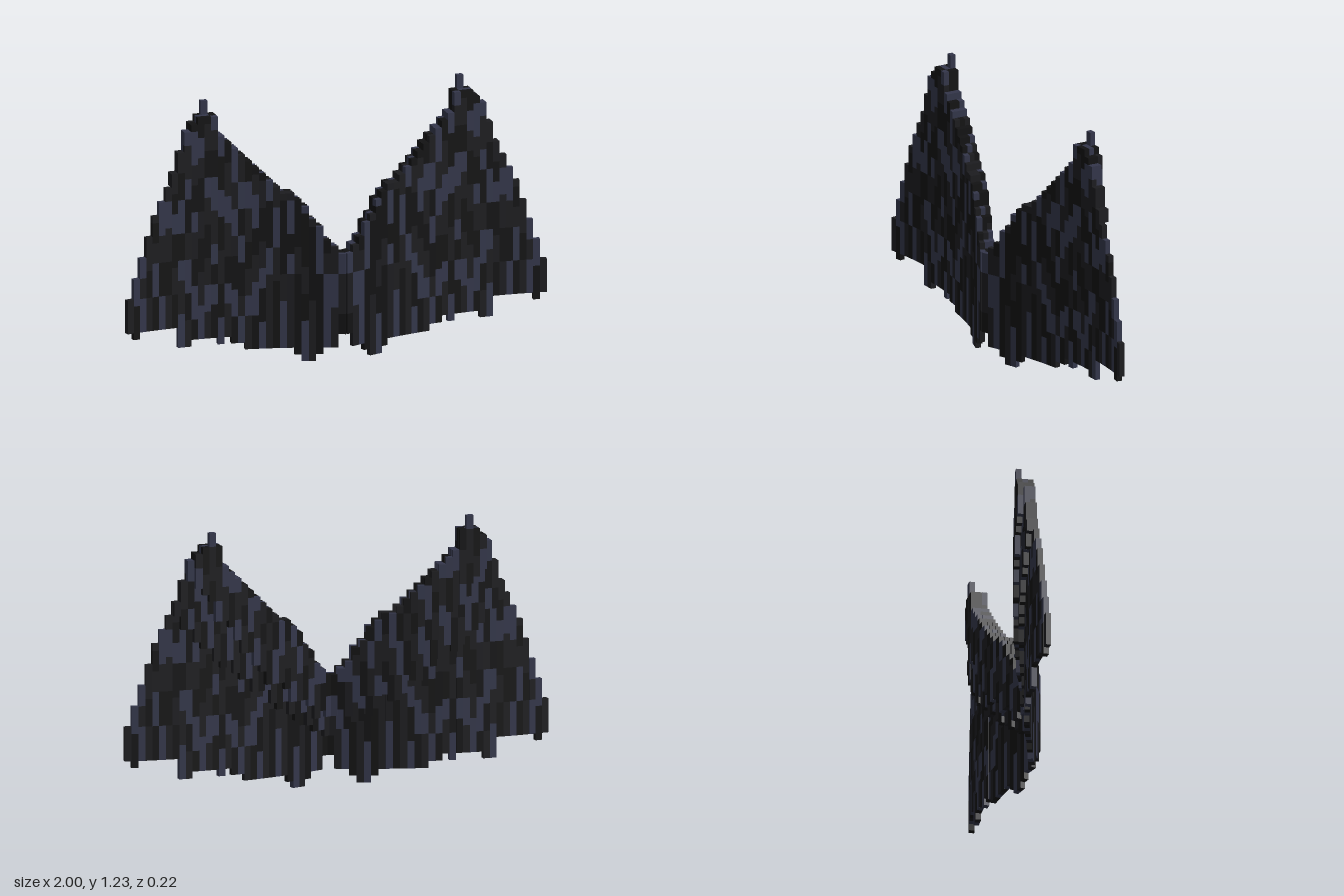
import * as THREE from 'three';
import { mergeGeometries } from 'three/addons/utils/BufferGeometryUtils.js';

const COLUMNS = 32;          // feather columns per wing
const DX = 1 / COLUMNS;
const UNIT = 1.225 / 39;     // height of one block
const LAYER = 0.025;         // thickness of one feather layer
const COLORS = [0x121213, 0x1c1c1f, 0x33364a];
const NAMES = ['blackFeathers', 'charcoalFeathers', 'slateFeathers'];

// Wing outlines as [x, y] points
const TOP = [[0, 0.47], [0.05, 0.53], [0.1, 0.62], [0.16, 0.7], [0.24, 0.78], [0.36, 0.87], [0.48, 0.99],
  [0.55, 1.08], [0.572, 1.16], [0.65, 1.16], [0.68, 1.13], [0.7, 1.12], [0.73, 1.0], [0.8, 0.85], [0.9, 0.62], [0.98, 0.36], [1, 0.35]];
const BOTTOM = [[0, 0.13], [0.02, 0.13], [0.05, 0.065], [0.1, 0.05], [0.13, 0], [0.18, 0], [0.2, 0.035], [0.23, 0.065],
  [0.44, 0.065], [0.47, 0.13], [0.49, 0.1], [0.52, 0.13], [0.55, 0.1], [0.58, 0.13], [0.67, 0.13], [0.69, 0.1],
  [0.74, 0.1], [0.76, 0.2], [0.92, 0.2], [0.953, 0.16], [0.98, 0.19], [1, 0.19]];
// Lower edges of the covert feathers on the back
const MIDDLE = [[0, 0.2], [0.35, 0.45], [0.6, 0.65], [0.78, 0.85]];
const RIDGE = [[0, 0.3], [0.35, 0.55], [0.5, 0.75], [0.68, 1.0]];

function lookup(points, x) {
  for (let i = 1; i < points.length; i++) {
    const [x0, y0] = points[i - 1], [x1, y1] = points[i];
    if (x <= x1) return y0 + (y1 - y0) * (x - x0) / (x1 - x0);
  }
  return points[points.length - 1][1];
}

// Sweep of the wing front, seen from above
const sweep = x => -0.04 + 0.15 * (1 - x / 0.72) ** 2;
const slope = x => -0.3 / 0.72 * (1 - x / 0.72);

let seed = 11;
function random() {
  seed = (seed * 16807) % 2147483647;
  return seed / 2147483647;
}

const snap = y => Math.round(y / UNIT);

// One feather block spanning rows r0 to r1
function block(i, layer, r0, r1, side) {
  const x = (i + 0.5) * DX;
  const angle = Math.atan(slope(x));
  const g = new THREE.BoxGeometry(DX / Math.cos(angle), (r1 - r0) * UNIT, LAYER * Math.cos(angle));
  g.rotateY(-angle * side);
  g.translate(side * x, (r0 + r1) / 2 * UNIT, sweep(x) - LAYER * (layer + 0.5));
  return g;
}

export function createModel() {
  const group = new THREE.Group();
  group.name = 'wings';
  const wings = [1, -1].map(side => ({ side, parts: [[], [], []] }));

  for (let i = 0; i < COLUMNS; i++) {
    const x = (i + 0.5) * DX;
    const top = snap(lookup(TOP, x));
    const layers = [
      [snap(lookup(BOTTOM, x)), top],
      [x < 0.78 ? snap(lookup(MIDDLE, x)) + (i % 3 === 1 ? 1 : 0) : top, top],
      [x < 0.68 ? snap(lookup(RIDGE, x)) - (i % 4 === 2 ? 1 : 0) : top, top],
    ];
    // Single tall feather at the wing tip
    if (Math.abs(x - 0.6) < DX / 2) layers[2][1] = 39;

    layers.forEach(([low, high], layer) => {
      let tone = (i + layer) % 3;
      for (let r = low; r < high;) {
        // Long feathers near the root, short ones towards the tip
        const length = 3 + Math.floor(random() * (x < 0.35 && layer === 0 ? 10 : 3));
        const end = Math.min(high, r + length);
        for (const w of wings) w.parts[tone].push(block(i, layer, r, end, w.side));
        tone = (tone + 1 + Math.floor(random() * 2)) % 3;
        r = end;
      }
    });
  }

  const materials = COLORS.map(color => new THREE.MeshStandardMaterial({ color }));
  for (const { side, parts } of wings) {
    const wing = new THREE.Group();
    wing.name = side > 0 ? 'leftWing' : 'rightWing';
    parts.forEach((list, t) => {
      const mesh = new THREE.Mesh(mergeGeometries(list), materials[t]);
      mesh.name = NAMES[t];
      wing.add(mesh);
    });
    group.add(wing);
  }
  return group;
}
